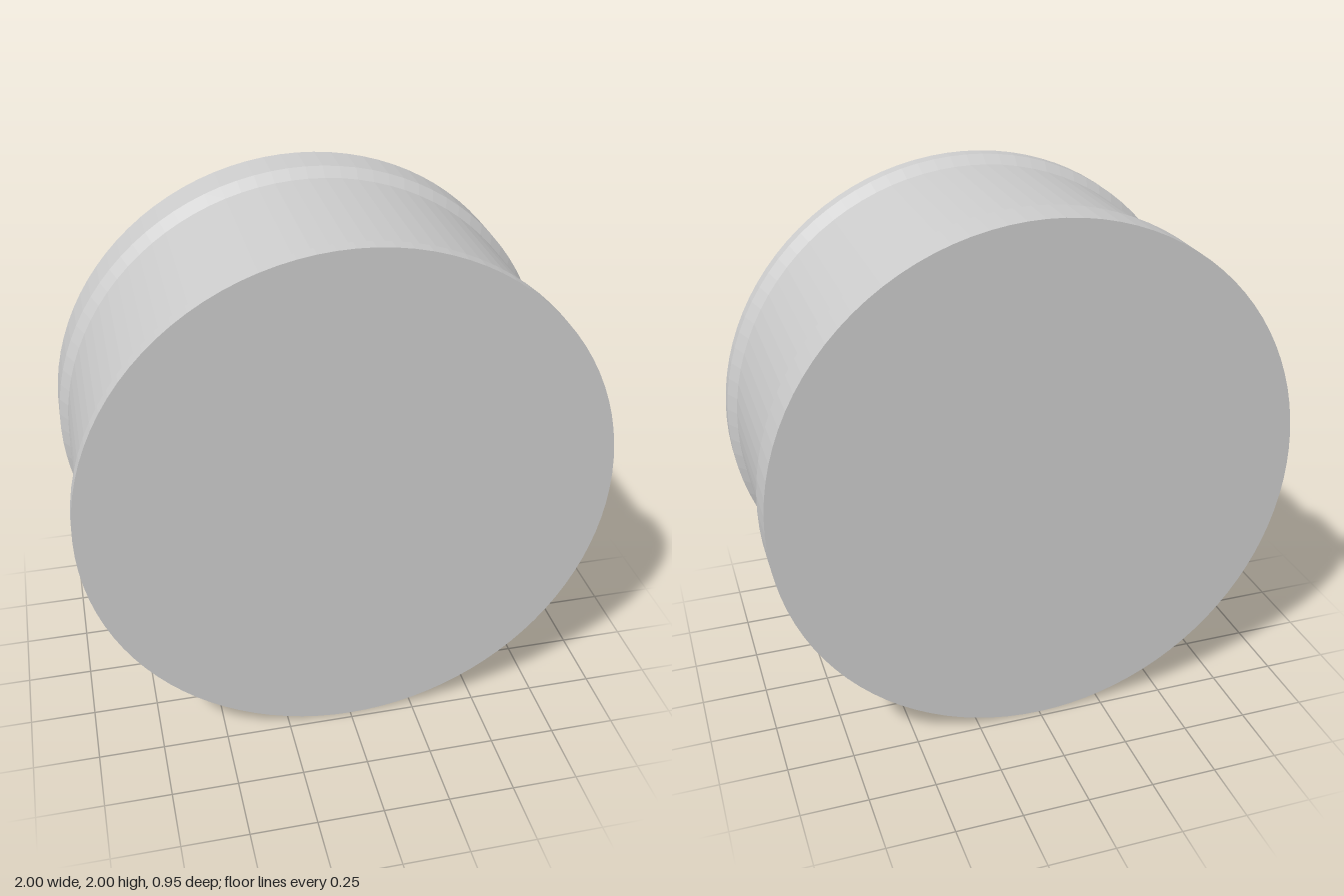
import * as THREE from 'three';

export function createModel() {
  const group = new THREE.Group();
  group.name = 'rimmedDrum';
  const material = new THREE.MeshStandardMaterial({ color: 0xcccccc, flatShading: true });
  const segments = 96;

  // Outer wall: wide back rim, recessed band, narrow front rim (radius, z)
  const profile = [
    [1, -0.475], [1, -0.315], [0.97, -0.265],
    [0.97, 0.37], [1, 0.42], [1, 0.475],
  ].map(([r, z]) => new THREE.Vector2(r, z));
  const wallGeometry = new THREE.LatheGeometry(profile, segments).rotateX(Math.PI / 2);
  const wall = new THREE.Mesh(wallGeometry, material);
  wall.name = 'wall';
  wall.position.y = 1;
  group.add(wall);

  // Flat discs closing both ends
  for (const side of [1, -1]) {
    const disc = new THREE.Mesh(new THREE.CircleGeometry(1, segments), material);
    disc.name = side > 0 ? 'frontDisc' : 'backDisc';
    disc.position.set(0, 1, side * 0.475);
    if (side < 0) disc.rotation.y = Math.PI;
    group.add(disc);
  }
  return group;
}
